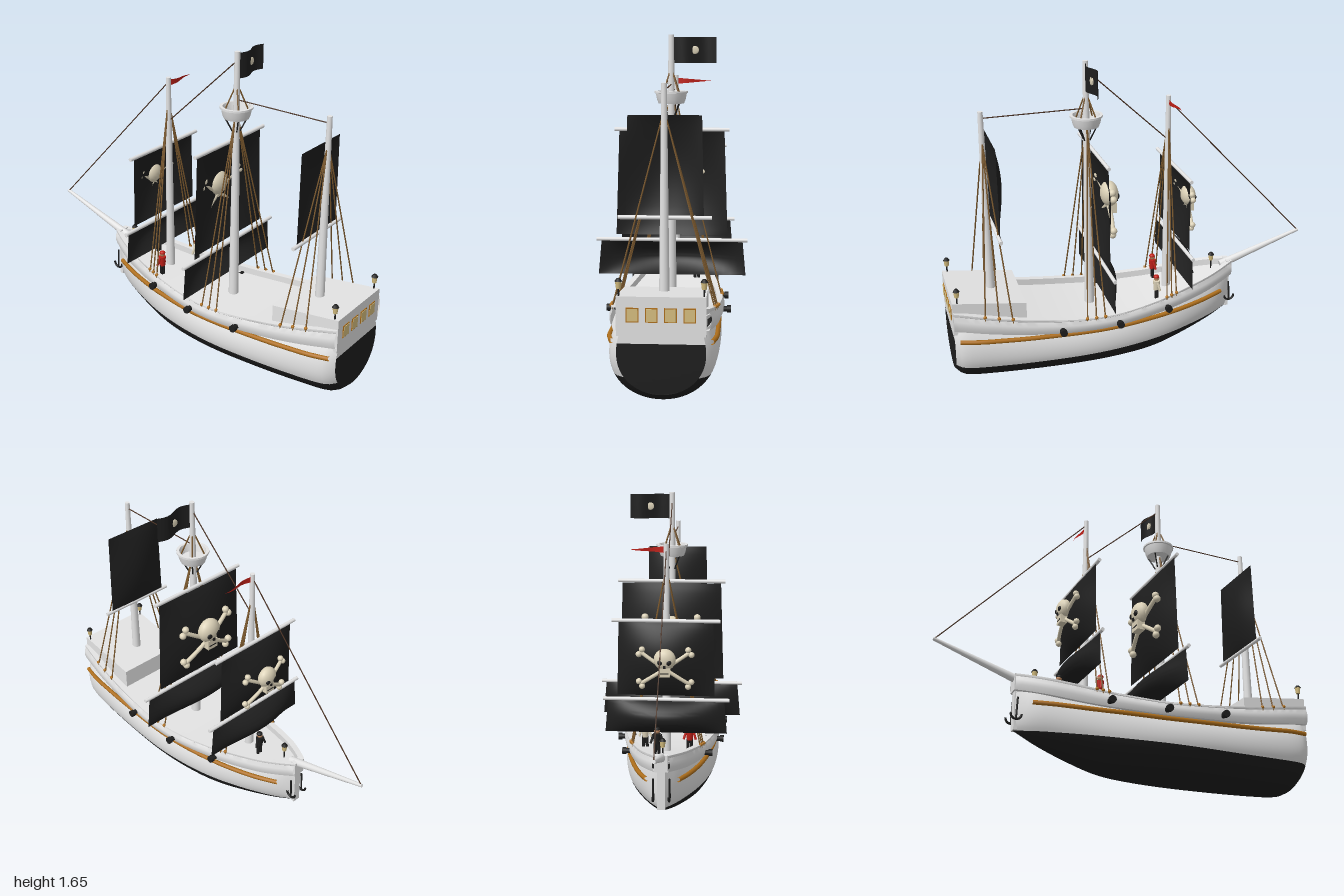
import * as THREE from 'three';
import { toCreasedNormals } from 'three/addons/utils/BufferGeometryUtils.js';

const mat = (name, color) => new THREE.MeshStandardMaterial({ name, color, side: THREE.DoubleSide });
const V = (x, y, z) => new THREE.Vector3(x, y, z);

// smooth interpolation through [z, value] pairs, z descending
function curve(table) {
  return z => {
    const n = table.length;
    let i = 0;
    while (i < n - 2 && z < table[i + 1][0]) i++;
    const slope = k => {
      const a = table[Math.max(k - 1, 0)], b = table[Math.min(k + 1, n - 1)];
      return (b[1] - a[1]) / (b[0] - a[0]);
    };
    const [z0, a] = table[i], [z1, b] = table[i + 1], h = z1 - z0;
    const t = THREE.MathUtils.clamp((z - z0) / h, 0, 1), t2 = t * t, t3 = t2 * t;
    return a * (2 * t3 - 3 * t2 + 1) + b * (3 * t2 - 2 * t3) + h * (slope(i) * (t3 - 2 * t2 + t) + slope(i + 1) * (t3 - t2));
  };
}

// hull lines along the length
const keelY = curve([[0.99, 0.06], [0.95, 0.025], [0.85, 0.012], [0.5, 0.002], [0.1, 0.002], [-0.1, 0.015], [-0.3, 0.065], [-0.45, 0.115], [-0.575, 0.168]]);
const waterY = curve([[0.99, 0.14], [0.5, 0.13], [0, 0.135], [-0.3, 0.15], [-0.575, 0.17]]);
const railLowY = curve([[0.99, 0.36], [0.6, 0.3], [0.2, 0.275], [-0.1, 0.29], [-0.3, 0.315], [-0.585, 0.37]]);
const railTopY = curve([[0.99, 0.46], [0.6, 0.385], [0.2, 0.345], [-0.1, 0.365], [-0.3, 0.4], [-0.585, 0.455]]);
const hullW = curve([[0.99, 0.2], [0.95, 0.232], [0.8, 0.25], [0.4, 0.262], [0.2, 0.255], [0, 0.228], [-0.2, 0.182], [-0.4, 0.118], [-0.5, 0.075], [-0.575, 0.02]]);
const railW = curve([[0.99, 0.21], [0.8, 0.237], [0.4, 0.26], [0.2, 0.252], [0, 0.222], [-0.2, 0.177], [-0.4, 0.12], [-0.5, 0.077], [-0.585, 0.03]]);
function halfWidth(z, y) {
  const b = keelY(z), t = railLowY(z) + 0.01, m = b + (t - b) * 0.62;
  if (y < m) return hullW(z) * Math.sqrt(Math.max(0, 1 - Math.pow(1 - (y - b) / (m - b), 2.2)));
  return hullW(z) * (1 - 0.13 * Math.pow((y - m) / (t - m), 2));
}

// grid surface from a function of u, v in 0..1
function surface(nu, nv, f, crease = 0.7) {
  const pos = [], idx = [], w = nv + 1;
  for (let i = 0; i <= nu; i++) for (let j = 0; j <= nv; j++) pos.push(...f(i / nu, j / nv));
  for (let i = 0; i < nu; i++) for (let j = 0; j < nv; j++) {
    const a = i * w + j;
    idx.push(a, a + 1, a + w, a + 1, a + w + 1, a + w);
  }
  const g = new THREE.BufferGeometry();
  g.setAttribute('position', new THREE.Float32BufferAttribute(pos, 3));
  g.setIndex(idx);
  g.computeVertexNormals();
  return toCreasedNormals(g, crease);
}

export function createModel() {
  const white = mat('white paint', 0xe4e4e4), black = mat('black', 0x1e1e1e), gold = mat('ochre trim', 0xb0701c);
  const rope = mat('brown rope', 0x7d5a2e), stayMat = mat('dark rope', 0x4a3020), red = mat('red', 0xc02018);
  const bone = mat('bone', 0xdcd2b8), glass = mat('window glow', 0xd8c080), skin = mat('skin', 0xc08a62);
  const ship = new THREE.Group();
  ship.name = 'sailingShip';

  const add = (name, geo, m, x = 0, y = 0, z = 0, parent = ship) => {
    const mesh = new THREE.Mesh(geo, m);
    mesh.name = name;
    mesh.position.set(x, y, z);
    parent.add(mesh);
    return mesh;
  };
  const box = (name, m, w, h, d, x, y, z, p) => add(name, new THREE.BoxGeometry(w, h, d), m, x, y, z, p);
  const ball = (name, m, r, x, y, z, p) => add(name, new THREE.SphereGeometry(r, 16, 12), m, x, y, z, p);
  // tapered round bar between two points
  const bar = (name, m, a, b, r0, r1 = r0, sides = 12, p = ship) => {
    const mesh = add(name, new THREE.CylinderGeometry(r1, r0, a.distanceTo(b), sides), m, 0, 0, 0, p);
    mesh.position.copy(a).lerp(b, 0.5);
    mesh.quaternion.setFromUnitVectors(V(0, 1, 0), b.clone().sub(a).normalize());
    return mesh;
  };

  // hull: dark bottom, light sides, transom
  const hz = u => 0.99 - 1.565 * u;
  add('hullBottom', surface(60, 32, (u, v) => {
    const z = hz(u), s = 2 * v - 1, b = keelY(z), y = b + (waterY(z) - b) * s * s;
    return [Math.sign(s) * halfWidth(z, y), y, z];
  }), black);
  for (const s of [1, -1]) {
    add('hullSide', surface(60, 14, (u, v) => {
      const z = hz(u), y = THREE.MathUtils.lerp(waterY(z), railLowY(z) + 0.01, v);
      return [s * halfWidth(z, y), y, z];
    }), white);
    // bulwark with rounded outer face
    const profile = [[-0.03, 0], [0.004, 0], [0.014, 0.3], [0.014, 0.6], [0.004, 0.85], [0.006, 0.88], [0.006, 1], [-0.026, 1], [-0.026, 0.4]];
    add('bulwark', surface(60, profile.length - 1, (u, v) => {
      const z = 0.99 - 1.575 * u, [dx, t] = profile[Math.round(v * (profile.length - 1))];
      return [s * Math.max(0, railW(z) + dx), THREE.MathUtils.lerp(railLowY(z), railTopY(z), t), z];
    }), white);
    // ochre rubbing strake
    const pts = [];
    for (let i = 0; i <= 14; i++) {
      const z = 0.965 - i * 0.105, y = railLowY(z) - 0.012 - 0.045 * Math.pow(Math.abs(z - 0.22) / 0.75, 2);
      pts.push(V(s * (halfWidth(z, y) + 0.008), y, z));
    }
    add('strake', new THREE.TubeGeometry(new THREE.CatmullRomCurve3(pts), 60, 0.012, 8), gold);
    // cannons
    for (const z of [0.445, 0.135, -0.15]) {
      const y = railLowY(z) + 0.024, w = railW(z);
      bar('cannon', black, V(s * (w - 0.05), y, z), V(s * (w + 0.045), y, z), 0.017, 0.013);
      bar('cannonMuzzle', black, V(s * (w + 0.03), y, z), V(s * (w + 0.05), y, z), 0.019);
    }
  }
  const transom = (name, y0, y1, m) => add(name, surface(8, 16, (u, v) => {
    const y = THREE.MathUtils.lerp(y0, y1, v);
    return [(2 * u - 1) * halfWidth(0.99, y), y, 0.99];
  }), m);
  transom('transomLower', keelY(0.99), 0.295, black);
  transom('transomUpper', 0.295, 0.37, white);
  box('stem', white, 0.04, 0.2, 0.02, 0, 0.27, -0.57);
  box('bowCap', white, 0.065, 0.085, 0.03, 0, 0.412, -0.572);
  add('deck', surface(40, 2, (u, v) => {
    const z = 0.985 - 1.56 * u;
    return [(2 * v - 1) * Math.max(0.005, railW(z) - 0.015), railTopY(z) - 0.035, z];
  }), white);

  // stern cabin with sloping roof and windows
  const cabin = new THREE.Shape([[0.615, 0.34], [0.992, 0.33], [0.992, 0.51], [0.615, 0.46]].map(p => new THREE.Vector2(...p)));
  const cabinGeo = new THREE.ExtrudeGeometry(cabin, { depth: 0.4, bevelEnabled: false });
  cabinGeo.rotateY(-Math.PI / 2);
  add('cabin', cabinGeo, white, 0.2, 0, 0);
  for (let i = 0; i < 4; i++) {
    const x = -0.127 + i * 0.0847;
    box('windowFrame', gold, 0.056, 0.066, 0.005, x, 0.427, 0.993);
    box('windowPane', glass, 0.047, 0.057, 0.008, x, 0.427, 0.994);
  }

  // lanterns
  for (const [x, y, z] of [[-0.19, 0.49, 0.965], [0.19, 0.49, 0.965], [0, 0.41, -0.475]]) {
    bar('lanternPost', black, V(x, y, z), V(x, y + 0.055, z), 0.004);
    bar('lanternGlass', glass, V(x, y + 0.05, z), V(x, y + 0.082, z), 0.011, 0.015, 8);
    bar('lanternCap', black, V(x, y + 0.082, z), V(x, y + 0.096, z), 0.018, 0.008, 8);
  }

  // masts, bowsprit, crow's nest
  bar('mizzenMast', white, V(0, 0.4, 0.765), V(0, 1.435, 0.765), 0.025, 0.013);
  bar('mainMast', white, V(0, 0.3, 0.23), V(0, 1.65, 0.23), 0.027, 0.014);
  bar('foreMast', white, V(0, 0.33, -0.21), V(0, 1.435, -0.21), 0.025, 0.013);
  bar('bowsprit', white, V(0, 0.425, -0.53), V(0, 0.58, -1), 0.023, 0.009);
  const nest = [[0, 1.31], [0.064, 1.31], [0.072, 1.33], [0.078, 1.36], [0.085, 1.362], [0.085, 1.372], [0.07, 1.372], [0.06, 1.33], [0, 1.33]];
  add('crowsNest', toCreasedNormals(new THREE.LatheGeometry(nest.map(p => new THREE.Vector2(...p)), 24), 0.6), white, 0, 0, 0.23);
  for (let i = 0; i < 4; i++) {
    const a = Math.PI / 4 + i * Math.PI / 2, c = Math.cos(a), d = Math.sin(a);
    bar('nestRope', rope, V(0.06 * c, 1.35, 0.23 + 0.06 * d), V(0, 1.49, 0.23), 0.004, 0.004, 6);
    bar('nestBrace', black, V(0.02 * c, 1.24, 0.23 + 0.02 * d), V(0.062 * c, 1.32, 0.23 + 0.062 * d), 0.004, 0.004, 6);
  }

  // sails and yards
  const sail = (name, z, yTop, yBot, wTop, wBot, belly) => add(name, surface(20, 20, (u, v) => {
    const s = 2 * u - 1;
    return [s * THREE.MathUtils.lerp(wTop, wBot, v), THREE.MathUtils.lerp(yTop, yBot, v),
      z - belly * Math.pow(Math.sin(Math.PI * v), 0.8) * Math.cos(s * Math.PI / 2)];
  }), black);
  sail('mizzenSail', 0.727, 1.288, 0.82, 0.17, 0.18, 0.045);
  sail('mainUpperSail', 0.19, 1.165, 0.63, 0.268, 0.287, 0.067);
  sail('mainLowerSail', 0.19, 0.6, 0.42, 0.365, 0.382, 0.085);
  sail('foreUpperSail', -0.25, 1.045, 0.66, 0.24, 0.25, 0.07);
  sail('foreLowerSail', -0.25, 0.63, 0.46, 0.3, 0.315, 0.075);
  for (const [y, z, w] of [[0.817, 0.73, 0.217], [1.175, 0.195, 0.292], [0.605, 0.195, 0.39], [1.05, -0.245, 0.275], [0.637, -0.245, 0.325]])
    bar('yard', white, V(-w, y, z), V(w, y, z), 0.01);

  // skull and crossed bones on the forward face of a sail
  const emblem = (x, y, z, k, curveBack) => {
    const g = new THREE.Group();
    g.name = 'skullEmblem';
    g.position.set(x, y, z);
    g.scale.setScalar(k);
    ship.add(g);
    for (const s of [1, -1]) {
      const path = new THREE.QuadraticBezierCurve3(V(-0.15 * s, -0.13, curveBack), V(0, -0.03, -curveBack), V(0.15 * s, 0.07, curveBack));
      add('crossbone', new THREE.TubeGeometry(path, 12, 0.012, 8), bone, 0, 0, 0, g);
      for (const e of [1, -1]) for (const [dx, dy] of [[0.012, -0.014], [-0.008, 0.016]])
        ball('boneKnob', bone, 0.019, e * s * (0.15 + dx), -0.03 + e * (0.1 + dy), curveBack, g);
      ball('eyeSocket', black, 0.017, s * 0.026, 0.02, -0.043, g).scale.z = 0.6;
    }
    ball('cranium', bone, 0.068, 0, 0.03, -0.005, g).scale.z = 0.7;
    box('jaw', bone, 0.066, 0.055, 0.045, 0, -0.045, -0.015, g);
    box('noseHole', black, 0.014, 0.018, 0.008, 0, -0.008, -0.046, g);
    box('teethGap', black, 0.05, 0.005, 0.006, 0, -0.05, -0.037, g);
  };
  emblem(0, 0.9, 0.118, 1, 0.018);
  emblem(0, 0.845, -0.325, 0.82, 0.02);

  // flag and pennant
  add('flag', surface(16, 2, (u, v) => [0.012 + 0.213 * u, 1.51 + 0.13 * v, 0.23 + 0.016 * Math.sin(u * Math.PI * 2)]), black);
  for (const s of [1, -1]) ball('flagEmblem', bone, 0.02, 0.118, 1.575, 0.23 + s * 0.003).scale.z = 0.2;
  add('pennant', surface(10, 2, (u, v) => [0.01 + 0.18 * u, 1.405 + 0.032 * (v - 0.5) * (1 - u), -0.21 + 0.008 * Math.sin(u * 6)]), red);

  // stays and shrouds
  bar('aftStay', stayMat, V(0, 1.4, 0.765), V(0, 1.405, 0.23), 0.003, 0.003, 6);
  bar('middleStay', stayMat, V(0, 1.6, 0.225), V(0, 1.2, -0.205), 0.003, 0.003, 6);
  bar('foreStay', stayMat, V(0, 1.41, -0.21), V(0, 0.585, -0.99), 0.003, 0.003, 6);
  for (const [z, y, feet] of [[0.765, 1.27, [-0.07, 0, 0.07]], [0.23, 1.31, [-0.02, 0.03, 0.08]], [-0.21, 1.26, [0, 0.03, 0.06]]])
    for (const s of [1, -1]) for (const d of feet) {
      const x = s * (railW(z + d) + 0.004), fy = railTopY(z + d) - 0.02;
      bar('shroud', rope, V(x, fy, z + d), V(s * 0.012, y, z), 0.0038, 0.0038, 6);
      ball('deadeye', gold, 0.009, x, fy + 0.02, z + d);
    }

  // anchor at the bow
  for (const s of [1, -1]) {
    bar('anchorShank', black, V(s * 0.04, 0.22, -0.575), V(s * 0.04, 0.33, -0.57), 0.005);
    const fluke = add('anchorFluke', new THREE.TorusGeometry(0.028, 0.006, 8, 12, Math.PI), black, s * 0.04, 0.245, -0.575);
    fluke.rotation.set(0, Math.PI / 2, Math.PI);
  }

  // crew on deck
  for (const [x, z, coat, hat, trousers] of [[0.12, -0.115, bone, red, black], [-0.12, -0.17, red, red, black], [0.04, -0.33, black, black, black]]) {
    const g = new THREE.Group(), f = railTopY(z) - 0.035;
    g.name = 'sailor';
    g.position.set(x, f, z);
    ship.add(g);
    for (const s of [1, -1]) {
      bar('leg', trousers, V(s * 0.01, 0, 0), V(s * 0.008, 0.06, 0), 0.008, 0.009, 8, g);
      bar('arm', coat, V(s * 0.018, 0.105, 0), V(s * 0.032, 0.06, -0.01), 0.007, 0.006, 8, g);
    }
    bar('torso', coat, V(0, 0.055, 0), V(0, 0.11, 0), 0.016, 0.02, 10, g);
    ball('head', skin, 0.015, 0, 0.125, 0, g);
    ball('hat', hat, 0.016, 0, 0.133, 0.002, g).scale.y = 0.7;
  }
  return ship;
}
